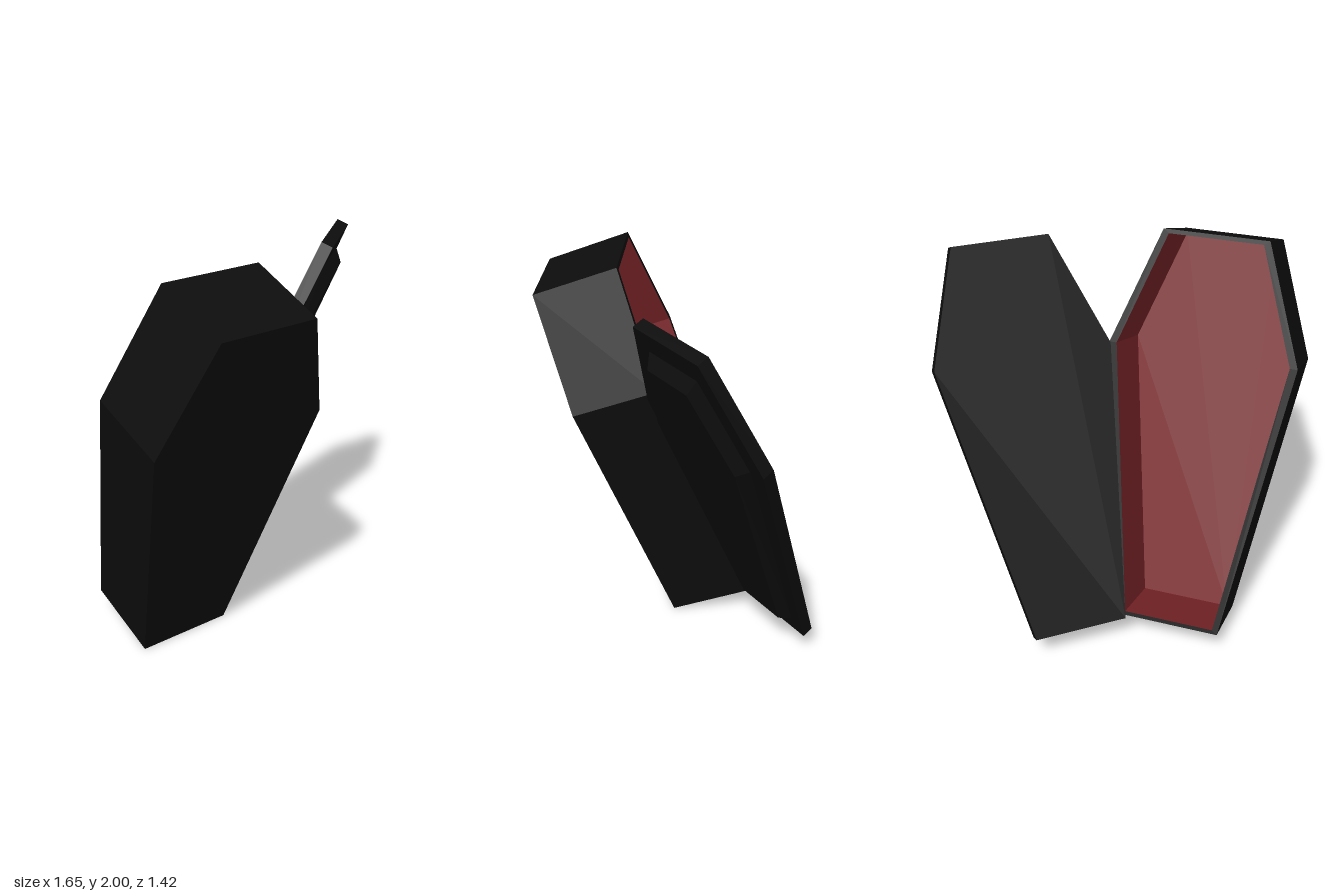
import * as THREE from 'three';

// Six-sided tapered outline at depth z, counter-clockwise seen from +z
function hex(endHalf, wideHalf, y0, yWide, y1, z) {
  return [
    [-endHalf, y0], [endHalf, y0], [wideHalf, yWide],
    [endHalf, y1], [-endHalf, y1], [-wideHalf, yWide],
  ].map(([x, y]) => new THREE.Vector3(x, y, z));
}

// Flat-faced skin through a series of outlines, with optional end caps
function loft(rings, capStart, capEnd, matrix) {
  const points = [];
  const n = rings[0].length;
  for (let k = 0; k < rings.length - 1; k++) {
    const a = rings[k], b = rings[k + 1];
    for (let i = 0; i < n; i++) {
      const j = (i + 1) % n;
      points.push(a[i], a[j], b[j], a[i], b[j], b[i]);
    }
  }
  const first = rings[0], last = rings[rings.length - 1];
  for (let i = 1; i < n - 1; i++) {
    if (capStart) points.push(first[0], first[i + 1], first[i]);
    if (capEnd) points.push(last[0], last[i], last[i + 1]);
  }
  const geometry = new THREE.BufferGeometry().setFromPoints(points);
  geometry.applyMatrix4(matrix);
  geometry.computeVertexNormals();
  return geometry;
}

// Placement from three axes and an origin
function frame(x, y, z, origin) {
  return new THREE.Matrix4()
    .makeBasis(new THREE.Vector3(...x), new THREE.Vector3(...y), new THREE.Vector3(...z))
    .setPosition(...origin);
}

export function createModel() {
  const model = new THREE.Group();
  model.name = 'openCoffin';
  const black = new THREE.MeshStandardMaterial({ color: 0x0d0d0d, flatShading: true });
  const red = new THREE.MeshStandardMaterial({ color: 0x7a2428, flatShading: true });

  const add = (name, geometry, material) => {
    const mesh = new THREE.Mesh(geometry, material);
    mesh.name = name;
    model.add(mesh);
  };

  // Box: leans forward 20 degrees, with its open side to the back
  const tilt = THREE.MathUtils.degToRad(20);
  const c = Math.cos(tilt), s = Math.sin(tilt);
  const boxFrame = frame([1, 0, 0], [0, c, s], [0, -s, c], [-0.3625, 0.149, -0.375]);
  const innerFloor = hex(0.23, 0.43, 0.02, 1.395, 1.95, 0.37);
  const innerRim = hex(0.23, 0.43, 0.02, 1.395, 1.95, 0);
  const outerRim = hex(0.2575, 0.4675, 0, 1.395, 1.97, 0);
  const outerFloor = hex(0.25, 0.458, 0, 1.395, 1.97, 0.434);
  add('boxShell', loft([innerRim, outerRim, outerFloor], false, true, boxFrame), black);
  add('boxLining', loft([innerFloor, innerRim], true, false, boxFrame), red);

  // Lid: swung open along the box's long edge, with a bevelled panel inside
  const lidFrame = frame(
    [0.781, 0, -0.62], [0.288, 0.917, 0.275], [0.6, -0.42, 0.69], [0.035, 0.165, -0.5625]);
  const lidRings = [
    hex(0.237, 0.44, 0, 1.41, 1.971, 0),
    hex(0.237, 0.44, 0, 1.41, 1.971, 0.06),
    hex(0.175, 0.34, 0.11, 1.39, 1.855, 0.06),
    hex(0.145, 0.295, 0.155, 1.385, 1.805, 0.115),
  ];
  add('lid', loft(lidRings, true, true, lidFrame), black);

  return model;
}
